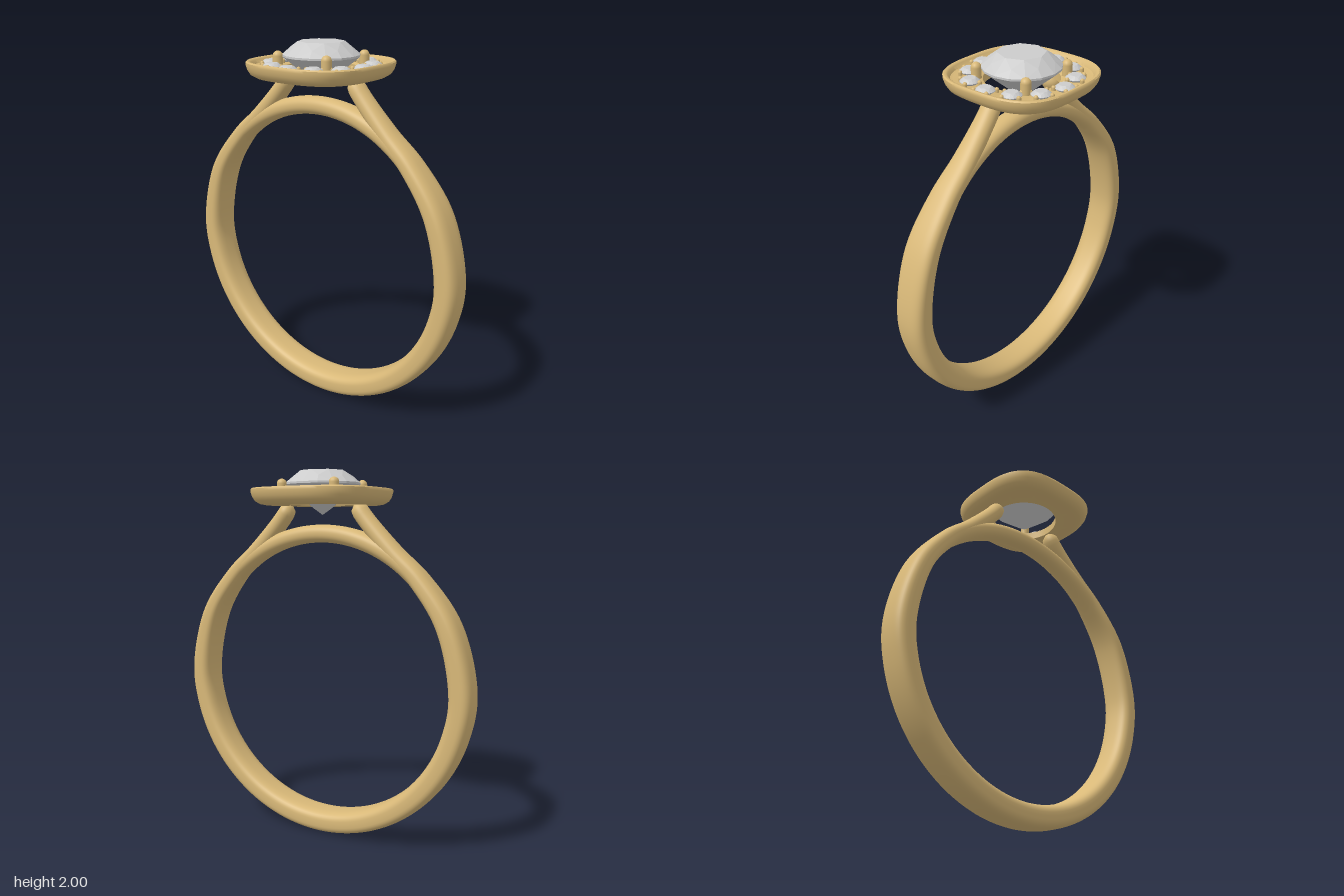
import * as THREE from 'three';
import { toCreasedNormals } from 'three/addons/utils/BufferGeometryUtils.js';
import { ConvexGeometry } from 'three/addons/geometries/ConvexGeometry.js';

const gold = new THREE.MeshStandardMaterial({ color: 0xd8b878 });
const grey = new THREE.MeshStandardMaterial({ color: 0xcccccc, flatShading: true });
const CY = 0.875; // height of the finger hole's centre
const rad = THREE.MathUtils.degToRad;
const { lerp, smoothstep } = THREE.MathUtils;

function add(parent, name, geometry, material, x = 0, y = 0, z = 0) {
  const mesh = new THREE.Mesh(geometry, material);
  mesh.name = name;
  mesh.position.set(x, y, z);
  parent.add(mesh);
  return mesh;
}

// Unit superellipse point: n = 2 is a circle, higher is squarer
function superPoint(a, n) {
  const f = (v) => Math.sign(v) * Math.pow(Math.abs(v), 2 / n);
  return [f(Math.cos(a)), f(Math.sin(a))];
}

// Skin over equal rings of points; either closed into a loop or capped at both ends
function loft(rings, loop) {
  const n = rings[0].length, m = rings.length, pos = [], idx = [];
  rings.forEach((r) => r.forEach((p) => pos.push(p.x, p.y, p.z)));
  for (let i = 0; i < (loop ? m : m - 1); i++) {
    for (let j = 0; j < n; j++) {
      const k = (j + 1) % n, e = ((i + 1) % m) * n;
      const a = i * n + j, b = i * n + k, c = e + k, d = e + j;
      idx.push(a, b, d, b, c, d);
    }
  }
  if (!loop) {
    [0, m - 1].forEach((i, end) => {
      const c = new THREE.Vector3();
      rings[i].forEach((p) => c.addScaledVector(p, 1 / n));
      const ci = pos.length / 3;
      pos.push(c.x, c.y, c.z);
      for (let j = 0; j < n; j++) {
        const a = i * n + j, b = i * n + (j + 1) % n;
        idx.push(ci, end ? a : b, end ? b : a);
      }
    });
  }
  const g = new THREE.BufferGeometry();
  g.setAttribute('position', new THREE.Float32BufferAttribute(pos, 3));
  g.setIndex(idx);
  g.computeVertexNormals();
  return g;
}

// Sweep along a path in the YZ plane; section(p, u) gives half width, half thickness, squareness
function sweep(points, steps, section) {
  const curve = new THREE.CatmullRomCurve3(points);
  const X = new THREE.Vector3(1, 0, 0), rings = [];
  for (let i = 0; i <= steps; i++) {
    const u = i / steps, p = curve.getPointAt(u);
    const N = curve.getTangentAt(u).cross(X).normalize();
    const [w, t, sq] = section(p, u);
    rings.push(Array.from({ length: 40 }, (_, j) => {
      const [c, s] = superPoint((j / 40) * Math.PI * 2, sq);
      return p.clone().addScaledVector(X, c * w).addScaledVector(N, s * t);
    }));
  }
  return loft(rings, false);
}

const arc = (deg, r) => new THREE.Vector3(0, CY + r * Math.sin(rad(deg)), r * Math.cos(rad(deg)));

// Band: lower hoop with both shoulders rising straight to the head
function bandGeometry() {
  const shoulder = [[0.205, 1.825], [0.235, 1.775], [0.42, 1.575]].map(([z, y]) => new THREE.Vector3(0, y, z));
  shoulder.push(arc(45, 0.8), arc(25, 0.803));
  const path = [...shoulder];
  for (let d = 0; d >= -180; d -= 15) path.push(arc(d, 0.811));
  shoulder.reverse().forEach((p) => path.push(new THREE.Vector3(0, p.y, -p.z)));
  return sweep(path, 200, (p, u) => {
    const rise = smoothstep(p.y, 1.15, 1.85);
    const e = Math.min(1, Math.min(u, 1 - u) / 0.01);
    const round = 0.4 + 0.6 * Math.sqrt(e * (2 - e));
    return [lerp(0.09, 0.05, rise) * round,
      (lerp(0.0625, 0.05, smoothstep(p.y, 0.85, 1.45)) - 0.005 * rise) * round, lerp(3, 2, rise)];
  });
}

// Arch: closes the finger hole beneath the head
function archGeometry() {
  const path = [];
  for (let d = 33; d <= 147; d += 6) path.push(arc(d, 0.7975));
  return sweep(path, 70, (p, u) => {
    const mid = Math.sin(Math.PI * u);
    return [lerp(0.082, 0.056, mid), lerp(0.043, 0.0475, Math.min(1, mid * 2)), 2.2];
  });
}

// Head: cushion-shaped dish with a raised rim and a round hole
function headGeometry() {
  // half size, height, squareness
  const profile = [
    [0.19, 1.825, 2], [0.2, 1.82, 2], [0.275, 1.82, 2.8], [0.3, 1.825, 2.9], [0.322, 1.84, 3],
    [0.335, 1.862, 3], [0.342, 1.888, 3], [0.342, 1.9, 3], [0.336, 1.906, 3], [0.326, 1.905, 3],
    [0.318, 1.898, 3], [0.31, 1.88, 3], [0.3, 1.876, 2.9], [0.2, 1.876, 2], [0.19, 1.871, 2],
  ];
  const rings = profile.map(([s, y, n]) => Array.from({ length: 96 }, (_, j) => {
    const [c, d] = superPoint((j / 96) * Math.PI * 2, n);
    return new THREE.Vector3(c * s, y, -d * s);
  }));
  return toCreasedNormals(loft(rings, true), 0.8);
}

// Brilliant-cut stone of radius 1 with its girdle at y = 0
function stoneGeometry(crown, pavilion) {
  const pts = [new THREE.Vector3(0, -pavilion, 0)];
  const ring = (count, r, y, turn = 0) => {
    for (let i = 0; i < count; i++) {
      const a = ((i + turn) / count) * Math.PI * 2;
      pts.push(new THREE.Vector3(r * Math.cos(a), y, r * Math.sin(a)));
    }
  };
  ring(8, 0.6, crown);
  ring(8, 0.82, crown * 0.52, 0.5);
  ring(16, 1, 0.02);
  ring(16, 1, -0.03);
  ring(8, 0.25, -pavilion * 0.78, 0.5);
  return new ConvexGeometry(pts);
}

export function createModel() {
  const root = new THREE.Group();
  root.name = 'ring';
  add(root, 'band', bandGeometry(), gold);
  add(root, 'arch', archGeometry(), gold);
  add(root, 'head', headGeometry(), gold);

  add(root, 'centreStone', stoneGeometry(0.34, 0.81), grey, 0, 1.932, 0).scale.setScalar(0.2);

  // Four prongs holding the centre stone
  const prong = new THREE.CapsuleGeometry(0.026, 0.07, 8, 16);
  for (const x of [-1, 1]) for (const z of [-1, 1]) add(root, 'prong', prong, gold, x * 0.156, 1.894, z * 0.156);

  // Halo of twelve small stones, each with four bead prongs
  const small = stoneGeometry(0.34, 0.75);
  const bead = new THREE.CapsuleGeometry(0.011, 0.02, 4, 10);
  for (let i = 0; i < 12; i++) {
    const setting = new THREE.Group();
    setting.name = 'haloSetting';
    setting.rotation.y = (i / 12) * Math.PI * 2;
    add(setting, 'haloStone', small, grey, 0.262, 1.888, 0).scale.setScalar(0.05);
    for (const x of [-1, 1]) for (const z of [-1, 1]) {
      add(setting, 'bead', bead, gold, 0.262 + x * 0.036, 1.879, z * 0.04);
    }
    root.add(setting);
  }
  return root;
}
